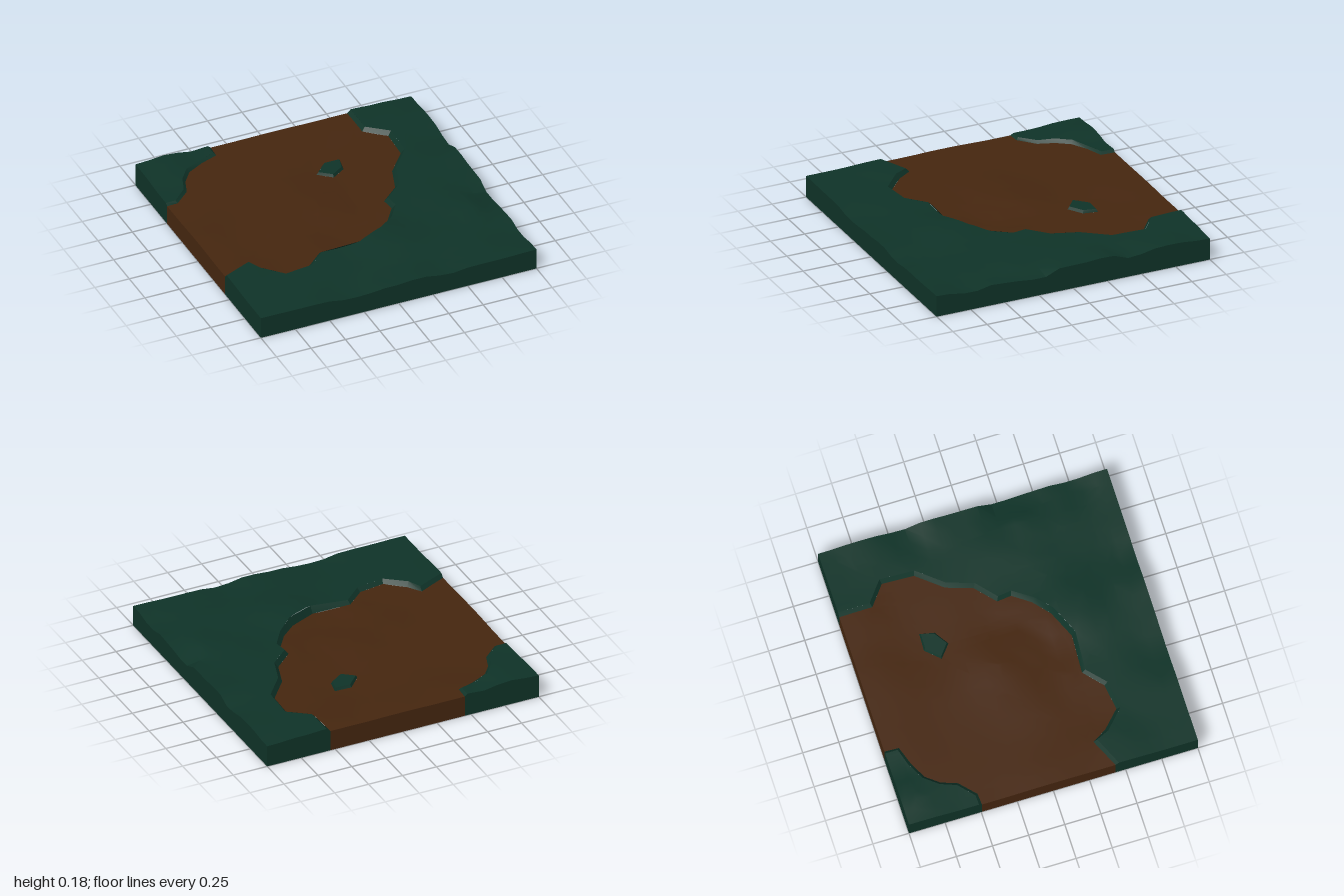
import * as THREE from 'three';
import { toCreasedNormals } from 'three/addons/utils/BufferGeometryUtils.js';

// Relief control points: [x, z, height]
const grassRelief = [
  [-1, 1, .155], [-.6, 1, .153], [-.3, 1, .13], [-.05, 1, .145], [.15, 1, .155], [.4, 1, .13], [.55, 1, .145], [1, 1, .15],
  [1, .73, .125], [1, .6, .148], [1, .4, .135], [1, .25, .12], [1, .05, .168], [1, -.25, .177], [1, -.43, .135],
  [1, -.6, .165], [1, -.71, .17], [1, -1, .155], [.75, -1, .165], [.54, -1, .172],
  [-1, -1, .165], [-.78, -1, .182], [-.6, -.95, .155], [-.47, -.95, .165], [-1, -.55, .152],
  [.15, .45, .182], [-.6, .72, .152], [-.9, .42, .165], [.65, .15, .17], [.8, .35, .172], [.72, .52, .15],
  [.4, .25, .158], [.7, -.5, .165], [-.3, .5, .15], [.17, -.45, .147],
];
const dirtRelief = [
  [-1, .4, .14], [-1, 0, .145], [-1, -.45, .138], [-.4, -1, .148], [0, -1, .15], [.5, -1, .148],
  [-.1, -.1, .15], [-.4, 0, .142], [.02, .1, .138], [.04, .19, .11], [-.13, .28, .115], [.18, .03, .125],
  [.1, .28, .125], [.3, .1, .13], [.6, -.5, .132], [.2, -.45, .128], [-.5, -.4, .135], [-.5, .42, .125], [-.3, .3, .13],
];

// Edges of the bare earth, running from the left border to the back and back again
const mainEdge = [[-1, .43], [-.8, .34], [-.74, .44], [-.62, .555], [-.44, .53], [-.31, .415], [-.04, .43], [.15, .345],
  [.26, .25], [.345, .13], [.335, .03], [.47, -.09], [.53, -.27], [.67, -.44], [.68, -.66], [.54, -.77], [.535, -1]];
const cornerEdge = [[-.455, -1], [-.46, -.9], [-.58, -.86], [-.7, -.8], [-.77, -.71], [-.81, -.6], [-.92, -.5], [-1, -.495]];
const tuftEdge = [[.06, -.44], [.15, -.365], [.25, -.43], [.27, -.53], [.15, -.535]];

function heightFrom(relief) {
  return ([x, z]) => {
    let sum = 0, total = 0;
    for (const [px, pz, h] of relief) {
      const w = ((x - px) ** 2 + (z - pz) ** 2 + .001) ** -1.6;
      sum += w * h;
      total += w;
    }
    return sum / total;
  };
}
const grassHeight = heightFrom(grassRelief);
const dirtHeight = heightFrom(dirtRelief);

// Moves an edge line sideways, keeping its ends on the tile border
function offset(line, d, closed = false) {
  const n = line.length;
  return line.map(([x, z], i) => {
    const a = line[closed ? (i + n - 1) % n : Math.max(i - 1, 0)];
    const b = line[closed ? (i + 1) % n : Math.min(i + 1, n - 1)];
    const dx = b[0] - a[0], dz = b[1] - a[1], len = Math.hypot(dx, dz);
    return [Math.abs(x) === 1 ? x : x - dz / len * d, Math.abs(z) === 1 ? z : z + dx / len * d];
  });
}

// Cuts a convex polygon along a line parallel to an axis
function cut(poly, axis, limit, sign) {
  const out = [];
  poly.forEach((p, i) => {
    const q = poly[(i + 1) % poly.length];
    const a = (p[axis] - limit) * sign, b = (q[axis] - limit) * sign;
    if (a >= 0) out.push(p);
    if (a * b < 0) {
      const t = a / (a - b), r = [p[0] + (q[0] - p[0]) * t, p[1] + (q[1] - p[1]) * t];
      r[axis] = limit;
      out.push(r);
    }
  });
  return out;
}

const onBorder = (p, q) => [0, 1].some(k => Math.abs(p[k]) === 1 && p[k] === q[k]);

// Side wall below one border segment, facing outward
function wall(out, p, q, hp, hq) {
  const cross = (q[0] - p[0]) * (p[1] + q[1]) - (q[1] - p[1]) * (p[0] + q[0]);
  if (cross < 0) [p, q, hp, hq] = [q, p, hq, hp];
  const a = [p[0], 0, p[1]], b = [q[0], 0, q[1]], c = [q[0], hq, q[1]], d = [p[0], hp, p[1]];
  out.push(...a, ...b, ...c, ...a, ...c, ...d);
}

// Rolling surface over an outline, with walls wherever it meets the border
function surface(outline, height) {
  const out = [], step = .1;
  const contour = outline.map(p => new THREE.Vector2(...p));
  for (const face of THREE.ShapeUtils.triangulateShape(contour, [])) {
    const tri = face.map(i => outline[i]);
    for (let i = -10; i < 10; i++) {
      const strip = cut(cut(tri, 0, i * step, 1), 0, (i + 1) * step, -1);
      if (strip.length < 3) continue;
      for (let j = -10; j < 10; j++) {
        const cell = cut(cut(strip, 1, j * step, 1), 1, (j + 1) * step, -1);
        for (let k = 1; k < cell.length - 1; k++) {
          let [a, b, c] = [cell[0], cell[k], cell[k + 1]];
          const area = (b[0] - a[0]) * (c[1] - a[1]) - (b[1] - a[1]) * (c[0] - a[0]);
          if (Math.abs(area) < 1e-9) continue;
          if (area > 0) [b, c] = [c, b];
          for (const p of [a, b, c]) out.push(p[0], height(p), p[1]);
        }
        if (cell.length > 2) cell.forEach((p, k) => {
          const q = cell[(k + 1) % cell.length];
          if (onBorder(p, q)) wall(out, p, q, height(p), height(q));
        });
      }
    }
  }
  return out;
}

// Sloping turf lip between the earth edge and the grass edge
function lip(inner, outer, closed = false) {
  const out = [], n = inner.length;
  const low = p => [p[0], dirtHeight(p), p[1]], high = p => [p[0], grassHeight(p), p[1]];
  for (let i = 0; i < (closed ? n : n - 1); i++) {
    const j = (i + 1) % n;
    const a = low(inner[i]), b = low(inner[j]), c = high(outer[j]), d = high(outer[i]);
    out.push(...a, ...c, ...b, ...a, ...d, ...c);
  }
  if (!closed) for (const i of [0, n - 1])
    wall(out, inner[i], outer[i], dirtHeight(inner[i]), grassHeight(outer[i]));
  return out;
}

export function createModel() {
  const model = new THREE.Group();
  model.name = 'terrainTile';
  const grass = new THREE.MeshStandardMaterial({ name: 'darkGreenGrass', color: 0x0f3328, side: THREE.DoubleSide });
  const dirt = new THREE.MeshStandardMaterial({ name: 'brownEarth', color: 0x45260f, side: THREE.DoubleSide });

  const add = (name, positions, material) => {
    let geometry = new THREE.BufferGeometry();
    geometry.setAttribute('position', new THREE.Float32BufferAttribute(positions, 3));
    geometry = toCreasedNormals(geometry, .4);
    const mesh = new THREE.Mesh(geometry, material);
    mesh.name = name;
    model.add(mesh);
  };

  // Grass field and far corner
  const mainRim = offset(mainEdge, .026), cornerRim = offset(cornerEdge, .02);
  add('grassField', surface([...mainRim, [1, -1], [1, 1], [-1, 1]], grassHeight), grass);
  add('grassFieldLip', lip(mainEdge, mainRim), grass);
  add('grassCorner', surface([...cornerRim, [-1, -1]], grassHeight), grass);
  add('grassCornerLip', lip(cornerEdge, cornerRim), grass);

  // Small tuft standing in the earth
  const tuftRim = offset(tuftEdge, -.012, true);
  add('grassTuft', surface(tuftRim, grassHeight), grass);
  add('grassTuftLip', lip(tuftEdge, tuftRim, true), grass);

  // Bare earth, in two halves that meet around the tuft
  const [tuftWest, tuftFront, tuftEast, tuftNorthEast, tuftBack] = tuftEdge;
  const seam = [.15, -1];
  add('earthWest', surface([...mainEdge.slice(0, 8), tuftFront, tuftWest, tuftBack, seam, ...cornerEdge], dirtHeight), dirt);
  add('earthEast', surface([...mainEdge.slice(7), seam, tuftBack, tuftNorthEast, tuftEast, tuftFront], dirtHeight), dirt);

  return model;
}
